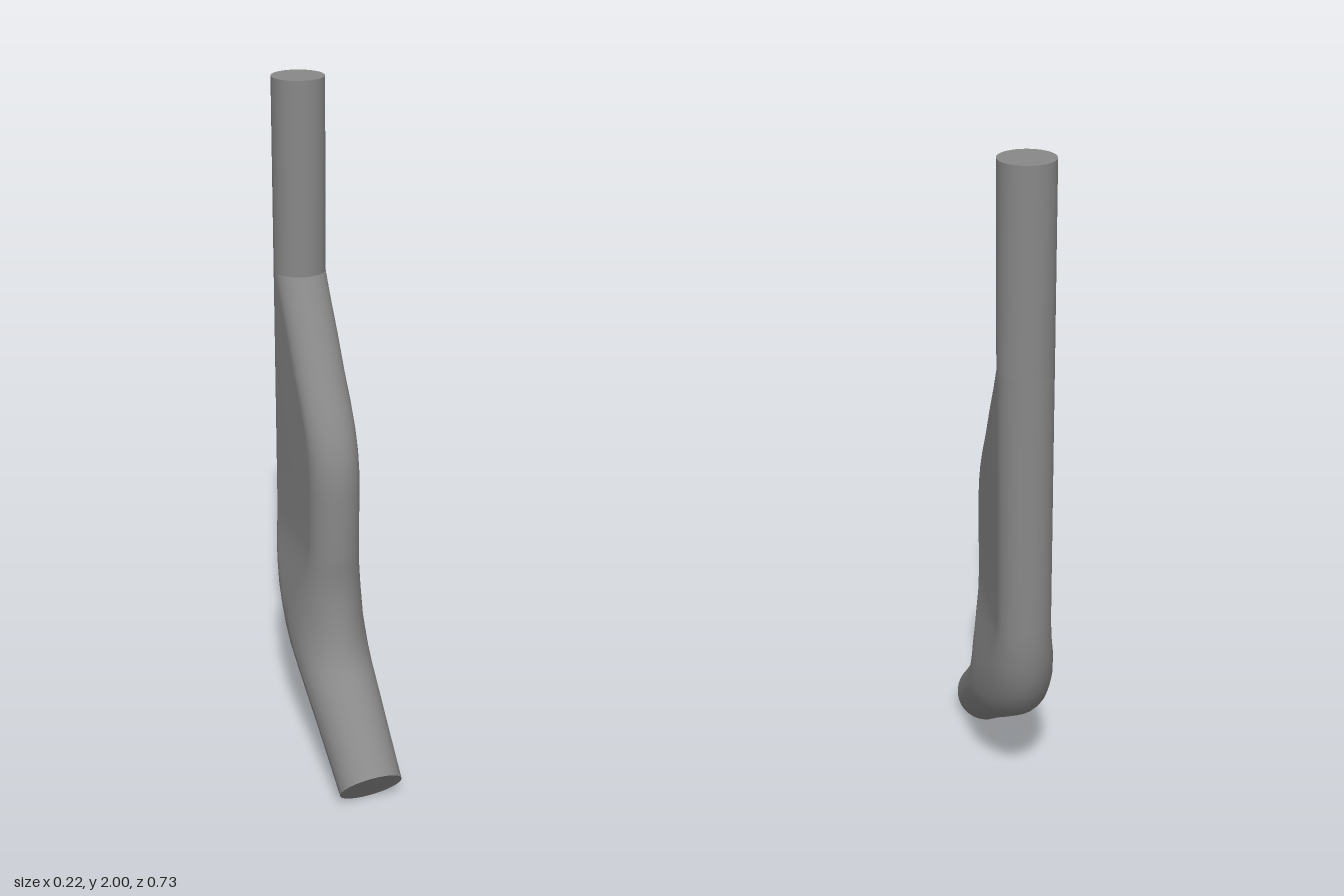
import * as THREE from 'three';

const ARC = 16; // segments per rounded edge

// Rounded section spanning back point to front point, half width w, edge depth c
function ring([zb, yb, zf, yf, w, c]) {
  const half = Math.hypot(zf - zb, yf - yb) / 2;
  const dz = (zf - zb) / (2 * half), dy = (yf - yb) / (2 * half);
  const depth = Math.min(c, half * 0.99);
  const points = [];
  for (const side of [1, -1]) {
    for (let i = 0; i <= ARC; i++) {
      const t = -Math.PI / 2 + (Math.PI * i) / ARC;
      const along = side * (half - depth + depth * Math.cos(t));
      points.push(new THREE.Vector3(side * w * Math.sin(t), (yb + yf) / 2 + dy * along, (zb + zf) / 2 + dz * along));
    }
  }
  return points;
}

// Skin through the sections, from top to bottom
function loft(sections) {
  const rings = sections.map(ring), n = rings[0].length, index = [];
  for (let j = 0; j < rings.length - 1; j++) {
    for (let i = 0; i < n; i++) {
      const a = j * n + i, b = j * n + ((i + 1) % n);
      index.push(a, a + n, b, b, a + n, b + n);
    }
  }
  const geometry = new THREE.BufferGeometry().setFromPoints(rings.flat());
  geometry.setIndex(index);
  geometry.computeVertexNormals();
  return geometry;
}

// Flat cover over one section
function cover(section, facesUp) {
  const points = ring(section), index = [];
  for (let i = 1; i < points.length - 1; i++) index.push(0, ...(facesUp ? [i, i + 1] : [i + 1, i]));
  const geometry = new THREE.BufferGeometry().setFromPoints(points);
  geometry.setIndex(index);
  geometry.computeVertexNormals();
  return geometry;
}

export function createModel() {
  const group = new THREE.Group();
  const material = new THREE.MeshStandardMaterial({ color: 0x888888 });
  const add = (name, geometry) => {
    const mesh = new THREE.Mesh(geometry, material);
    mesh.name = name;
    group.add(mesh);
  };

  const R = 0.074, B = -0.366;
  const top = [B, 2, -0.218, 2, R, R];
  const shoulder = [B, 1.45, -0.218, 1.45, R, R];

  // Each row: back z, back y, front z, front y, half width, edge depth
  const blade = [
    shoulder,
    [B, 1.38, -0.175, 1.38, R, R],
    [B, 1.29, -0.115, 1.29, R, R],
    [B, 1.2, -0.06, 1.2, R, R],
    [B, 1.12, -0.005, 1.12, R, R],
    [B, 1.06, 0.03, 1.06, R, R],
    [B, 1.0, 0.053, 1.0, R, R],
    [B, 0.94, 0.064, 0.94, R, R],
    [B, 0.88, 0.066, 0.88, R, R],
    [B, 0.71, 0.065, 0.71, R, R],
    [-0.363, 0.65, 0.06, 0.65, 0.078, 0.08],
    [-0.355, 0.585, 0.055, 0.6, 0.088, 0.1],
    [-0.341, 0.53, 0.059, 0.55, 0.097, 0.13],
    [-0.32, 0.475, 0.066, 0.5, 0.106, 0.16],
    [-0.29, 0.425, 0.077, 0.45, 0.111, 0.18],
    [-0.25, 0.375, 0.09, 0.41, 0.112, 0.18],
    [-0.2, 0.33, 0.105, 0.375, 0.111, 0.18],
    [-0.12, 0.272, 0.126, 0.348, 0.108, 0.18],
    [-0.03, 0.207, 0.16, 0.32, 0.105, 0.18],
    [0.06, 0.143, 0.215, 0.275, 0.101, 0.18],
    [0.15, 0.078, 0.283, 0.215, 0.097, 0.18],
    [0.254, 0, 0.366, 0.145, 0.0925, 0.18],
  ];

  // Round upper post
  add('post', loft([top, shoulder]));
  add('postTop', cover(top, true));
  // Flat web that swells into the bent lower tube
  add('webAndElbow', loft(blade));
  add('tubeEnd', cover(blade[blade.length - 1], false));
  return group;
}
